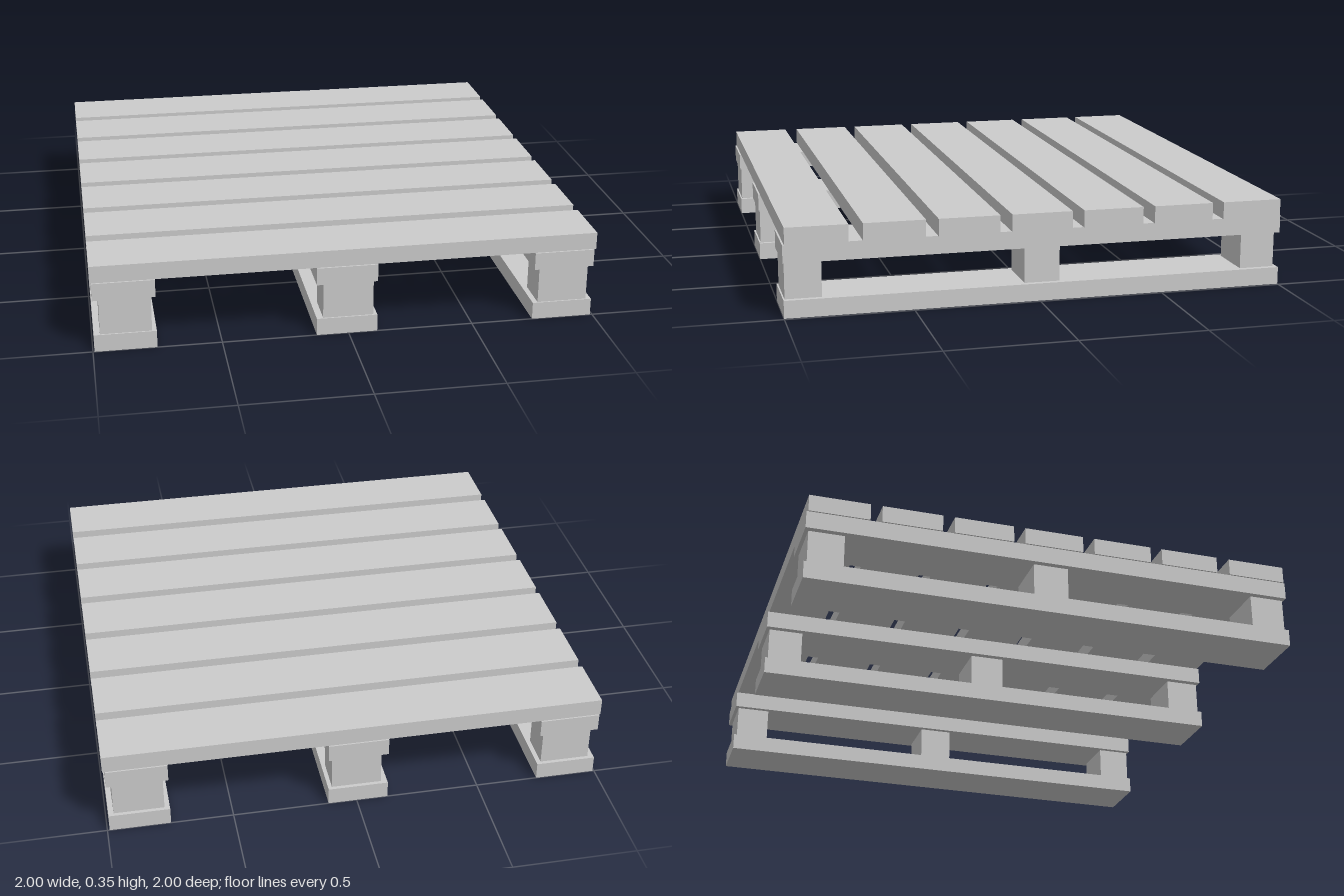
import * as THREE from 'three';

export function createModel() {
  const model = new THREE.Group();
  const material = new THREE.MeshStandardMaterial({ color: 0xcccccc, flatShading: true });

  // Heights of the layers, from the ground up
  const runnerTop = 0.07, blockTop = 0.215, stringerTop = 0.286, deckTop = 0.355;
  const boardWidth = 0.242;

  function addBox(name, x, z, width, depth, bottom, top) {
    const mesh = new THREE.Mesh(new THREE.BoxGeometry(width, top - bottom, depth), material);
    mesh.name = name;
    mesh.position.set(x, (bottom + top) / 2, z);
    model.add(mesh);
  }

  // Three rows: bottom runner, three blocks and upper stringer
  const rows = [
    { name: 'right', x: -0.873, blockX: -0.87 },
    { name: 'middle', x: -0.006, blockX: -0.001 },
    { name: 'left', x: 0.87, blockX: 0.87 },
  ];
  for (const { name, x, blockX } of rows) {
    addBox(`${name}Runner`, x, 0, boardWidth, 2, 0, runnerTop);
    addBox(`${name}Stringer`, x, 0, boardWidth, 2, blockTop, stringerTop);
    [0.923, -0.013, -0.914].forEach((z, i) => {
      addBox(`${name}Block${i + 1}`, blockX, z, 0.2, 0.142, runnerTop, blockTop);
    });
  }

  // Deck boards across the top, front to back
  [0.872, 0.575, 0.284, -0.006, -0.295, -0.585, -0.873].forEach((z, i) => {
    addBox(`deckBoard${i + 1}`, 0, z, 2, boardWidth, stringerTop, deckTop);
  });

  return model;
}
